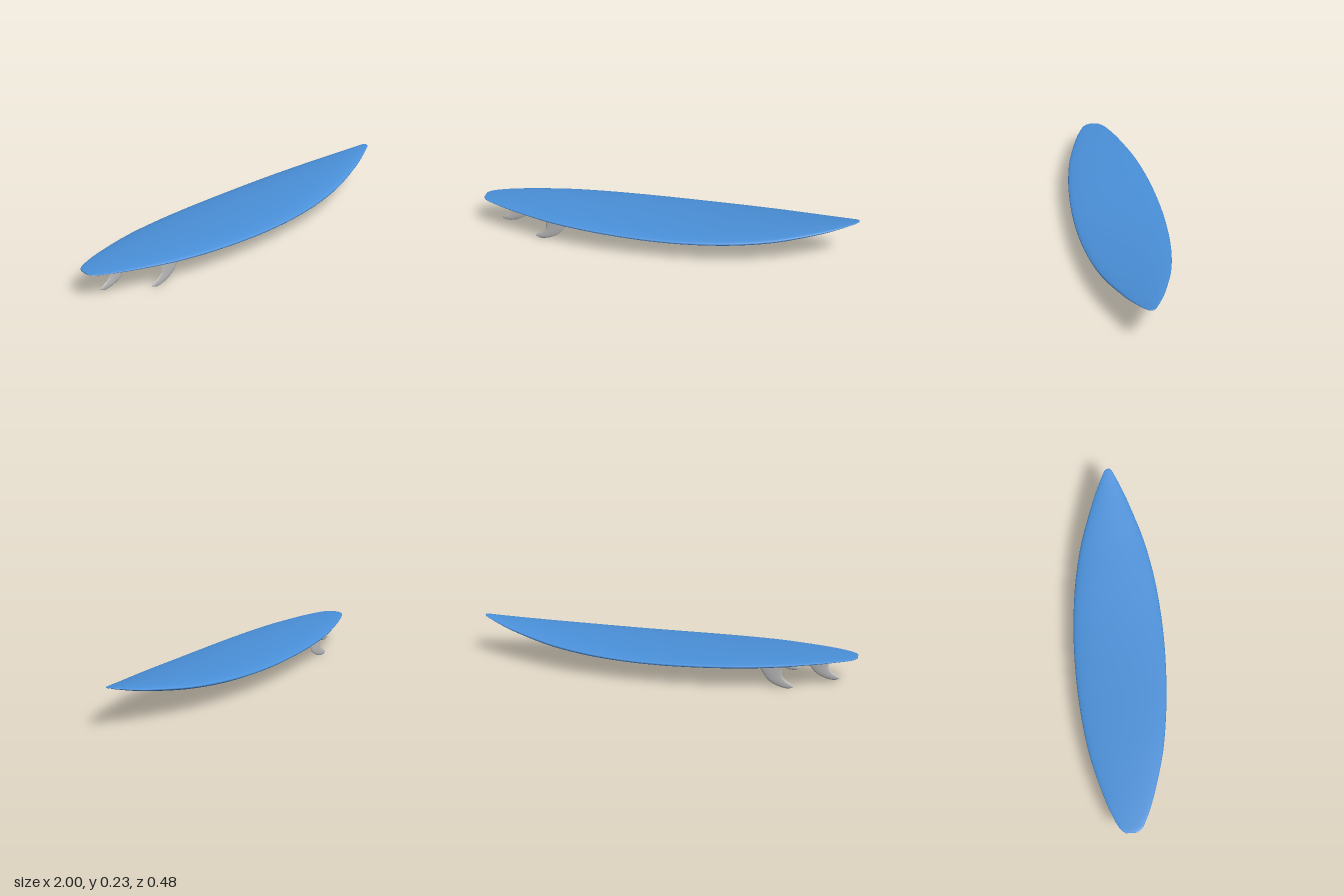
import * as THREE from 'three';

const RING = 40;

// Smooth skin over a list of closed rings, each end pinched shut at its centre.
function loft(rings) {
  const centre = (ring) => {
    const c = new THREE.Vector3();
    ring.forEach((p) => c.add(p));
    c.divideScalar(ring.length);
    return ring.map(() => c);
  };
  const all = [centre(rings[0]), ...rings, centre(rings[rings.length - 1])];
  const position = [], index = [];
  all.forEach((ring) => ring.forEach((p) => position.push(p.x, p.y, p.z)));
  for (let i = 0; i < all.length - 1; i++) {
    for (let j = 0; j < RING; j++) {
      const k = (j + 1) % RING;
      const a = i * RING + j, b = i * RING + k;
      index.push(a, a + RING, b, b, a + RING, b + RING);
    }
  }
  const g = new THREE.BufferGeometry();
  g.setAttribute('position', new THREE.Float32BufferAttribute(position, 3));
  g.setIndex(index);
  g.computeVertexNormals();
  return g;
}

const curve = (pts) =>
  new THREE.CatmullRomCurve3(pts.map((p) => new THREE.Vector3(...p)), false, 'catmullrom');
const angles = Array.from({ length: RING }, (_, j) => (j / RING) * Math.PI * 2);
const power = (v, p) => Math.sign(v) * Math.abs(v) ** p;

function boardGeometry() {
  // Stations from tail to nose: x, half width, bottom height, deck height
  const stations = [
    [-1, 0.028, 0.154, 0.16], [-0.99, 0.044, 0.152, 0.161], [-0.965, 0.064, 0.15, 0.162],
    [-0.9, 0.094, 0.145, 0.163], [-0.8, 0.13, 0.135, 0.163], [-0.6, 0.185, 0.118, 0.16],
    [-0.4, 0.217, 0.106, 0.155], [-0.2, 0.234, 0.099, 0.15], [0, 0.239, 0.095, 0.148],
    [0.2, 0.231, 0.097, 0.151], [0.4, 0.209, 0.106, 0.161], [0.6, 0.168, 0.127, 0.176],
    [0.8, 0.103, 0.164, 0.198], [0.9, 0.063, 0.19, 0.211], [0.965, 0.033, 0.21, 0.221],
    [0.99, 0.02, 0.219, 0.225], [1, 0.009, 0.222, 0.226],
  ];
  const outline = curve(stations.map(([x, w]) => [x, w, 0]));
  const rocker = curve(stations.map(([x, , low, high]) => [x, low, high]));
  const rings = [];
  const steps = (stations.length - 1) * 5;
  for (let i = 0; i <= steps; i++) {
    const { x, y: w } = outline.getPoint(i / steps);
    const { y: low, z: high } = rocker.getPoint(i / steps);
    const rail = (low + high) / 2, half = (high - low) / 2;
    // Gently crowned deck, flatter underside
    rings.push(angles.map((a) => new THREE.Vector3(
      x, rail + half * power(Math.sin(a), Math.sin(a) > 0 ? 1 : 0.85), w * Math.cos(a))));
  }
  return loft(rings);
}

function finGeometry() {
  // Swept-back fin: leading and trailing edges from base to tip
  const lead = curve([[-0.495, 0.132, 0], [-0.522, 0.095, 0], [-0.56, 0.042, 0],
    [-0.613, 0.013, 0], [-0.66, 0.004, 0], [-0.688, 0.013, 0]]);
  const trail = curve([[-0.63, 0.132, 0], [-0.629, 0.095, 0], [-0.633, 0.067, 0],
    [-0.652, 0.045, 0], [-0.674, 0.031, 0], [-0.69, 0.018, 0]]);
  const rings = [];
  const steps = 30;
  for (let i = 0; i <= steps; i++) {
    const t = i / steps;
    const front = lead.getPoint(t), back = trail.getPoint(t);
    const mid = front.clone().add(back).multiplyScalar(0.5);
    const reach = front.sub(back).multiplyScalar(0.5);
    const thick = 0.0065 * Math.sqrt(1 - 0.9 * t ** 4);
    rings.push(angles.map((a) => {
      const p = mid.clone().addScaledVector(reach, Math.cos(a));
      p.z = -thick * Math.sin(a);
      return p;
    }));
  }
  return loft(rings);
}

export function createModel() {
  const blue = new THREE.MeshStandardMaterial({ color: 0x4a90d9 });
  blue.name = 'board blue';
  const grey = new THREE.MeshStandardMaterial({ color: 0xb8b8b8 });
  grey.name = 'fin grey';

  const model = new THREE.Group();
  model.name = 'surfboard';

  const board = new THREE.Mesh(boardGeometry(), blue);
  board.name = 'board';
  model.add(board);

  // Two side fins and a centre fin further back
  const fin = finGeometry();
  [['leftFin', 0, -0.004, 0.124], ['rightFin', 0, -0.004, -0.124], ['centreFin', -0.222, 0.012, 0]]
    .forEach(([name, x, y, z]) => {
      const mesh = new THREE.Mesh(fin, grey);
      mesh.name = name;
      mesh.position.set(x, y, z);
      model.add(mesh);
    });
  return model;
}
